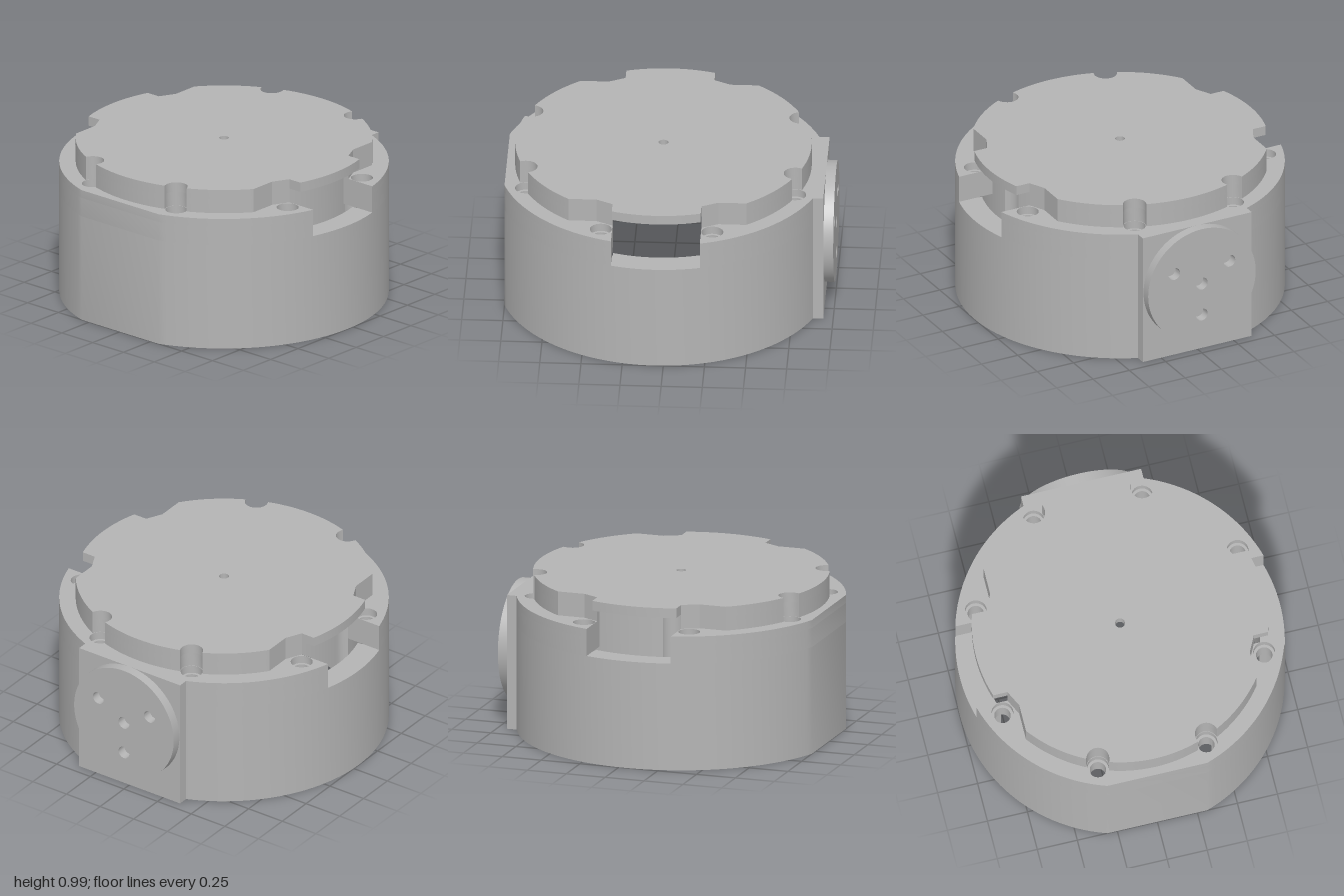
import * as THREE from 'three';
import { toCreasedNormals } from 'three/addons/utils/BufferGeometryUtils.js';

const CX = -0.05;            // axis of the housing
const WIN = 0.27;            // half width of the window slots
const PAD = 0.375;           // half width of the side pad
const FLANGE = 0.78;         // inner radius of the upper ring
const BOLT_R = 0.885;
const bolts = [...Array(8).keys()].map(k => Math.PI / 8 + k * Math.PI / 4);

const V = (x, y) => new THREE.Vector2(x, y);
const polar = (r, a) => V(r * Math.cos(a), r * Math.sin(a));

function arc(r, a0, a1, cx = 0, cy = 0) {
  const n = Math.max(2, Math.ceil(Math.abs(a1 - a0) / (r > 0.2 ? 0.05 : 0.25)));
  return Array.from({ length: n + 1 }, (_, i) => {
    const p = polar(r, a0 + (a1 - a0) * i / n);
    return V(p.x + cx, p.y + cy);
  });
}

const circleHole = (r, x = 0, y = 0) => new THREE.Path(arc(r, 0, -2 * Math.PI, x, y).slice(0, -1));

export function createModel() {
  const model = new THREE.Group();
  const grey = new THREE.MeshStandardMaterial({ color: 0xb4b4b4 });
  grey.name = 'machined grey';

  // Upright slab from a plan outline, between two heights
  function slab(name, points, holes, y0, y1) {
    const shape = new THREE.Shape(points);
    shape.holes = holes;
    const geo = new THREE.ExtrudeGeometry(shape, { depth: y1 - y0, bevelEnabled: false });
    geo.rotateX(-Math.PI / 2);
    const mesh = new THREE.Mesh(toCreasedNormals(geo, 0.45), grey);
    mesh.name = name;
    mesh.position.set(CX, y0, 0);
    model.add(mesh);
  }

  // Plan outline of the housing: pad on the right, flat on the left
  const a = Math.acos(WIN), p = Math.asin(PAD), q = Math.acos(0.95);
  const rightOuter = [...arc(1, -a, -p), V(0.99, -PAD), V(0.99, PAD), ...arc(1, p, a)];
  const leftOuter = [...arc(1, Math.PI - a, Math.PI - q), ...arc(1, Math.PI + q, Math.PI + a)];
  const outer = [
    ...rightOuter, ...arc(1, a, Math.PI - a).slice(1, -1),
    ...leftOuter, ...arc(1, Math.PI + a, 2 * Math.PI - a).slice(1, -1),
  ];

  // Bore with scalloped bolt channels
  const bore = [], boreR = 0.85, chan = 0.075;
  const half = Math.acos((BOLT_R ** 2 + boreR ** 2 - chan ** 2) / (2 * BOLT_R * boreR));
  const reach = Math.PI - Math.asin(boreR * Math.sin(half) / chan);
  const open = boreR * Math.cos(half) < BOLT_R ? reach : Math.PI - reach;
  bolts.forEach((b, i) => {
    const c = polar(BOLT_R, b);
    bore.push(...arc(chan, b - open, b + open, c.x, c.y));
    const next = b + Math.PI / 4;
    bore.push(...arc(boreR, b + half, next - half).slice(1, -1));
  });
  slab('housingWall', outer, [new THREE.Path(bore)], 0, 0.67);

  // Upper ring, split by the front and back windows, with counterbored bolt holes
  const fb = Math.acos(WIN / FLANGE);
  const rings = [
    ['rightRing', [...rightOuter, ...arc(FLANGE, fb, -fb)], 1],
    ['leftRing', [...leftOuter, ...arc(FLANGE, Math.PI + fb, Math.PI - fb)], -1],
  ];
  for (const [name, pts, side] of rings) {
    const own = bolts.filter(b => Math.cos(b) * side > 0).map(b => polar(BOLT_R, b));
    slab(name, pts, own.map(c => circleHole(0.05, c.x, c.y)), 0.67, 0.79);
    slab(name + 'Counterbore', pts, own.map(c => circleHole(0.067, c.x, c.y)), 0.79, 0.84);
  }

  // Lid outline, one quadrant mirrored round
  const R = 0.9, b0 = Math.PI / 8, gap = Math.atan(0.07 / BOLT_R);
  const c0 = polar(BOLT_R, b0);
  const sideQuad = [
    ...arc(R, 0, b0 - gap),
    ...arc(0.07, b0 - Math.PI / 2, b0 - 1.5 * Math.PI, c0.x, c0.y),
    ...arc(R, b0 + gap, Math.asin(0.72 / R)),
    V(0.37, 0.72), V(WIN, 0.77),
  ];
  const quad = [...sideQuad, ...arc(R, Math.acos(WIN / R), Math.PI / 2)];
  const flip = (pts, sx, sy) => {
    const out = pts.map(v => V(v.x * sx, v.y * sy));
    return sx * sy < 0 ? out.reverse() : out;
  };
  const lid = [
    ...quad.slice(0, -1), ...flip(quad, -1, 1).slice(0, -1),
    ...flip(quad, -1, -1).slice(0, -1), ...flip(quad, 1, -1).slice(0, -1),
  ];
  slab('lidPlate', lid, [circleHole(0.03)], 0.93, 0.99);

  // Lid skirt on both sides of the windows
  const rightSkirt = [
    ...flip(sideQuad, 1, -1).slice(0, -1), ...sideQuad, ...arc(FLANGE, fb, -fb),
  ];
  slab('rightLidSkirt', rightSkirt, [], 0.84, 0.93);
  slab('leftLidSkirt', flip(rightSkirt, -1, 1), [], 0.84, 0.93);

  // Round mounting disc on the pad, with four blind holes
  const disc = new THREE.Shape(arc(0.37, 0, 2 * Math.PI).slice(0, -1));
  disc.holes = [[0, 0], [0, -0.21], [0.19, 0.11], [-0.19, 0.11]].map(([x, y]) => circleHole(0.04, x, y));
  const discGeo = new THREE.ExtrudeGeometry(disc, { depth: 0.06, bevelEnabled: false });
  discGeo.rotateY(Math.PI / 2);
  const mount = new THREE.Mesh(toCreasedNormals(discGeo, 0.45), grey);
  mount.name = 'mountingDisc';
  mount.position.set(0.94, 0.47, 0);
  model.add(mount);

  return model;
}
